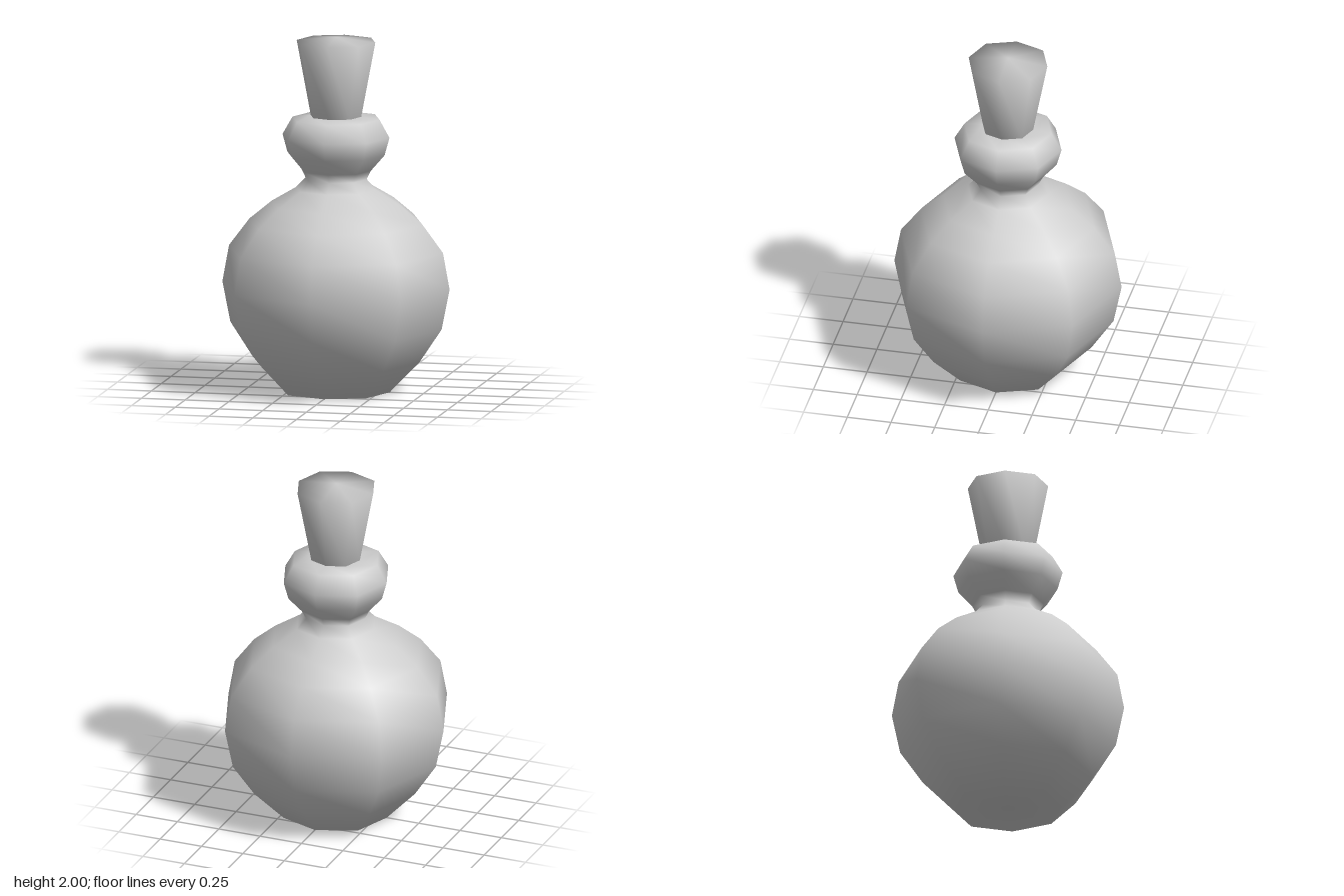
import * as THREE from 'three';
import { mergeVertices } from 'three/addons/utils/BufferGeometryUtils.js';

const SIDES = 8;

// Smooth-shaded eight-sided turned form; the diagonal corners sit slightly further out.
function turned(name, profile) {
  const geo = new THREE.LatheGeometry(profile.map(([r, y]) => new THREE.Vector2(r, y)), SIDES);
  const pos = geo.attributes.position;
  for (let i = 0; i < pos.count; i++) {
    const x = pos.getX(i), z = pos.getZ(i);
    if (Math.min(Math.abs(x), Math.abs(z)) > 1e-4) pos.setXYZ(i, x * 1.03, pos.getY(i), z * 1.03);
  }
  geo.deleteAttribute('uv');
  geo.deleteAttribute('normal');
  const smooth = mergeVertices(geo, 1e-4);
  smooth.computeVertexNormals();
  const mesh = new THREE.Mesh(smooth, new THREE.MeshStandardMaterial({ color: 0xcccccc }));
  mesh.name = name;
  return mesh;
}

export function createModel() {
  const group = new THREE.Group();
  group.name = 'flask';

  // Round body, pinched neck and bulging collar
  group.add(turned('body', [
    [0, 0], [0.307, 0], [0.478, 0.177], [0.604, 0.366], [0.65, 0.593],
    [0.612, 0.8], [0.495, 0.955], [0.368, 1.06], [0.228, 1.143], [0.175, 1.2],
    [0.2, 1.25], [0.278, 1.34], [0.306, 1.44], [0.249, 1.54], [0.143, 1.553], [0, 1.553],
  ]));

  // Flared stopper with a shallow peaked top
  group.add(turned('stopper', [[0, 1.54], [0.142, 1.54], [0.225, 1.975], [0, 2]]));

  return group;
}
